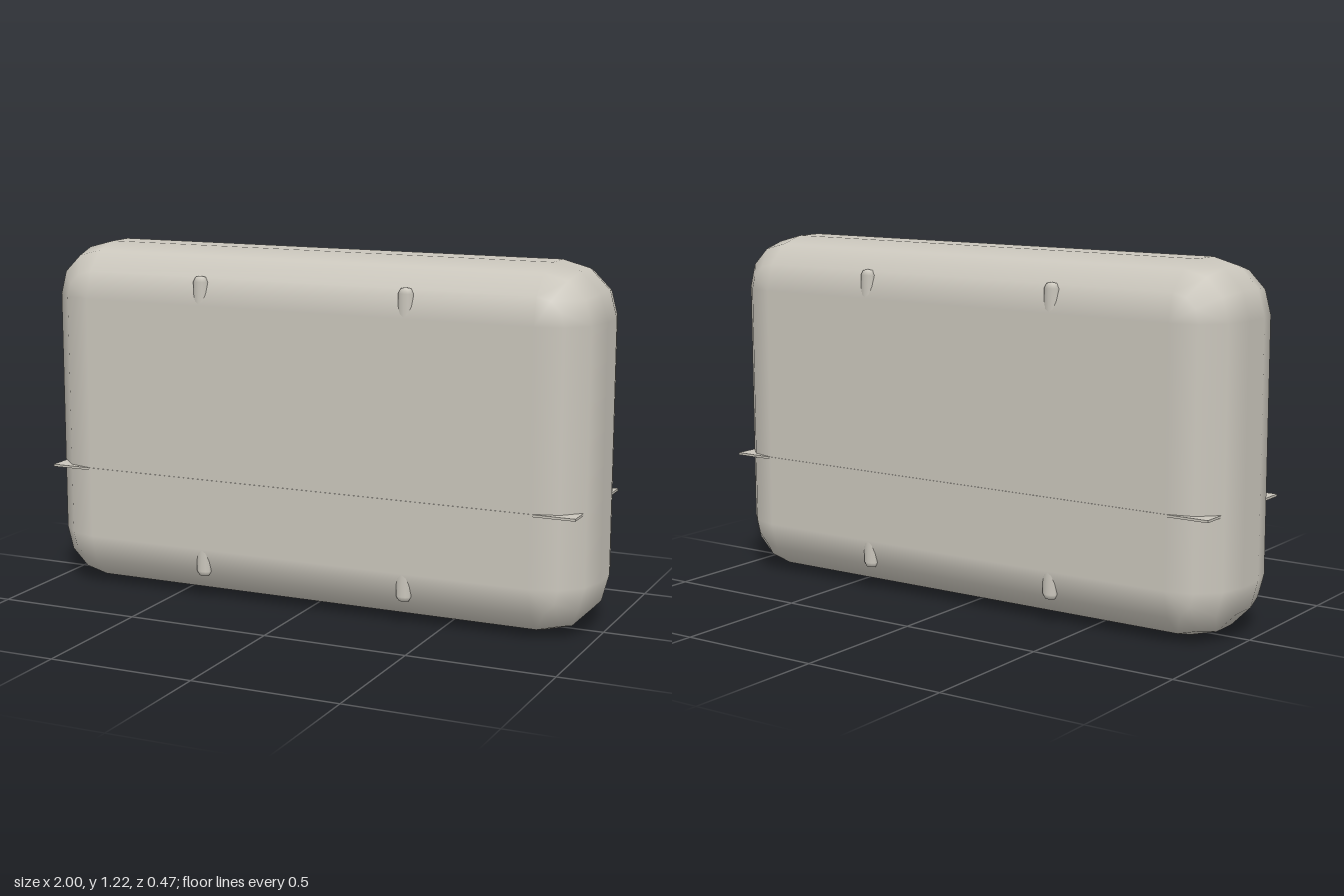
import * as THREE from 'three';

const HX = 1, HY = 0.61, HZ = 0.235, R = 0.185;

// Rounded block: rounded-rectangle loops stacked along z, three facets per rounded edge
function roundedBlock() {
  const around = [], rings = [];
  for (let q = 0; q < 4; q++) {
    for (let i = 0; i <= 3; i++) {
      around.push({ a: (q + i / 3) * Math.PI / 2, sx: q === 0 || q === 3 ? 1 : -1, sy: q < 2 ? 1 : -1 });
    }
  }
  around.push(around[0]);
  for (const side of [1, -1]) {
    const half = [{ p: Math.PI / 2, flat: 0 }];
    for (let i = 3; i >= 0; i--) half.push({ p: i * Math.PI / 6, flat: 1 });
    if (side < 0) half.reverse();
    for (const h of half) rings.push({ ...h, side });
  }
  const geo = new THREE.PlaneGeometry(1, 1, around.length - 1, rings.length - 1);
  const { position, normal } = geo.attributes;
  let k = 0;
  for (const { p, flat, side } of rings) {
    for (const { a, sx, sy } of around) {
      const nx = Math.cos(a) * Math.cos(p), ny = Math.sin(a) * Math.cos(p), nz = side * Math.sin(p);
      position.setXYZ(k, flat * (sx * (HX - R) + nx * R), flat * (sy * (HY - R) + ny * R), side * (HZ - R) + nz * R);
      normal.setXYZ(k++, nx, ny, nz);
    }
  }
  return geo;
}

export function createModel() {
  const group = new THREE.Group();
  const shell = new THREE.MeshStandardMaterial({ color: 0xcac6bc });
  shell.name = 'warm grey shell';

  const add = (name, geo, x, y, z) => {
    const mesh = new THREE.Mesh(geo, shell);
    mesh.name = name;
    mesh.position.set(x, y, z);
    group.add(mesh);
    return mesh;
  };

  add('body', roundedBlock(), 0, HY, 0);

  // Thin seam plate whose square corners stick out past the rounded body
  add('seamPlate', new THREE.BoxGeometry(1.935, 0.008, 0.474), 0, 0.43, 0);

  // Upright pins sunk in the faces, with only their chamfered ends showing
  const profile = [[0, -0.525], [0.018, -0.521], [0.027, -0.505], [0.027, 0.505], [0.018, 0.521], [0, 0.525]]
    .map(([r, y]) => new THREE.Vector2(r, y));
  const pinGeo = new THREE.LatheGeometry(profile, 12);
  for (const x of [-0.375, 0.375]) {
    for (const s of [1, -1]) {
      add(s > 0 ? 'frontPin' : 'backPin', pinGeo, x, HY, s * 0.2145).scale.z = 0.72;
    }
  }
  return group;
}
